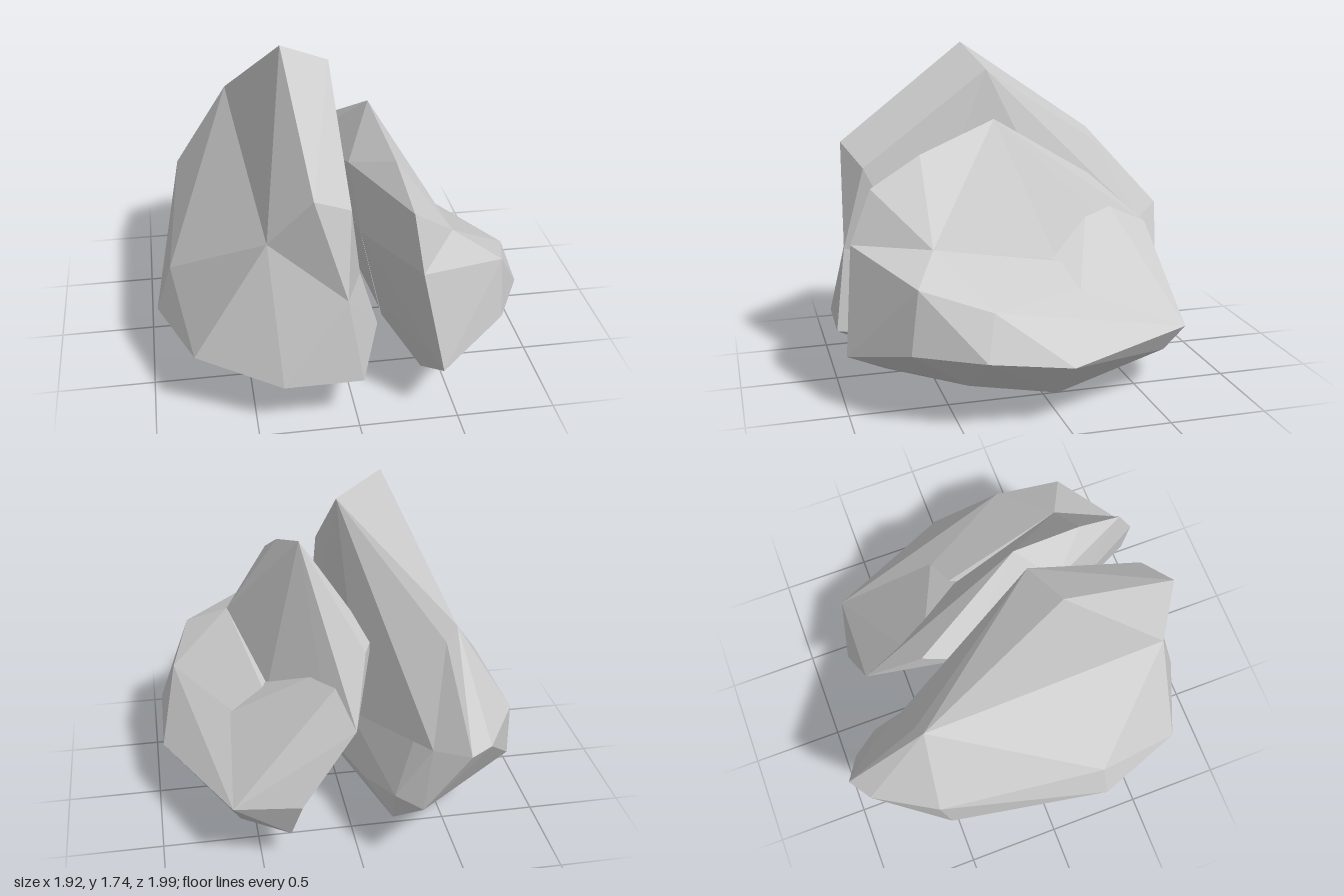
import * as THREE from 'three';
import { ConvexGeometry } from 'three/addons/geometries/ConvexGeometry.js';

const material = new THREE.MeshStandardMaterial({ color: 0xcccccc, flatShading: true });

// A faceted stone chunk spanned by its corner points
function chunk(name, corners) {
  const points = corners.map((c) => new THREE.Vector3(...c));
  const mesh = new THREE.Mesh(new ConvexGeometry(points), material);
  mesh.name = name;
  return mesh;
}

function rock(name, ...chunks) {
  const group = new THREE.Group();
  group.name = name;
  group.add(...chunks);
  return group;
}

export function createModel() {
  const model = new THREE.Group();
  model.name = 'splitRock';

  // Tall rock: a leaning spire on a broad base
  const tallShoulder = [
    [-0.42, 0.97, 0.8], [-0.46, 1.01, 0.27], [-0.54, 1.02, -0.39],
    [-0.05, 0.7, 0.93], [0.07, 0.62, 0.57],
  ];
  const tallSpire = chunk('tallRockSpire', [
    ...tallShoulder,
    [-0.28, 1.74, 0.24], [-0.03, 1.62, 0.16],
    [-0.21, 1.24, 0.91], [-0.02, 1.13, 0.82], [-0.01, 1.0, 0.5],
    [-0.51, 1.2, -0.56], [-0.45, 1.13, -0.59],
    [-0.34, 0.67, -0.84], [-0.07, 0.6, -0.35],
  ]);
  const tallBase = chunk('tallRockBase', [
    ...tallShoulder,
    // outer side
    [-0.64, 0.6, 0.78], [-0.79, 0.35, 0.79], [-0.88, 0.58, 0.31], [-0.96, 0.34, 0.32],
    [-0.8, 0.73, -0.6], [-0.82, 0.42, -0.55], [-0.77, 0.17, 0.31],
    // front
    [-0.37, 0.26, 0.98], [0.02, 0.27, 0.99], [-0.05, 0.16, 0.79],
    // back
    [-0.51, 1.2, -0.56], [-0.45, 1.13, -0.59],
    [-0.61, 0.72, -0.92], [-0.49, 0.72, -1.0], [-0.34, 0.67, -0.84],
    [-0.28, 0.39, -0.93], [-0.17, 0.38, -0.78], [-0.17, 0.22, -0.74],
    // inner side and underside
    [0.12, 0.4, 0.55], [0.18, 0.25, 0.5], [-0.07, 0.3, -0.47],
    [-0.08, 0, 0.2], [-0.28, 0.02, 0.3],
  ]);
  model.add(rock('tallRock', tallSpire, tallBase));

  // Low rock: a ridge leaning over a stepped base
  const lowShelf = [
    [0.31, 0.82, 0.94], [0.54, 0.83, 0.57], [0.4, 0.64, -0.12], [0.08, 0.83, 0.52],
  ];
  const lowBack = [
    [0.02, 0.75, -0.73], [0.14, 0.81, -0.45], [-0.08, 1.02, -0.43], [-0.15, 0.99, -0.23],
  ];
  const lowRim = [
    [0.32, 0.57, -0.64], [0.64, 0.35, -0.72], [0.3, 0.37, -0.79], [0.76, 0.47, -0.1],
  ];
  const lowRidge = chunk('lowRockRidge', [
    ...lowShelf, ...lowBack,
    [0.17, 1.39, 0.17], [0.24, 1.24, 0.57], [0.28, 1.09, 0.83],
    [0.5, 0.74, 0.33], [0.03, 1.16, 0.13], [0.04, 1.15, 0.37],
  ]);
  const lowTail = chunk('lowRockTail', [
    ...lowBack, ...lowRim,
    [0.4, 0.64, -0.12], [0.08, 0.83, 0.5], [0.19, 0.34, 0.5],
  ]);
  const lowBase = chunk('lowRockBase', [
    ...lowShelf, ...lowRim,
    // outer side
    [0.77, 0.71, 0.69], [0.78, 0.39, 0.73], [0.87, 0.6, 0.35], [0.95, 0.38, 0.4],
    [0.96, 0.32, -0.02], [0.81, 0.14, 0.02], [0.75, 0.2, 0.45],
    // front
    [0.42, 0.28, 0.99], [0.35, 0.17, 0.79], [0.22, 0.42, 0.65], [0.19, 0.34, 0.55],
    // underside
    [0.6, 0.22, -0.62], [0.35, 0.16, -0.71], [0.38, 0, 0.17],
  ]);
  model.add(rock('lowRock', lowRidge, lowTail, lowBase));

  return model;
}
